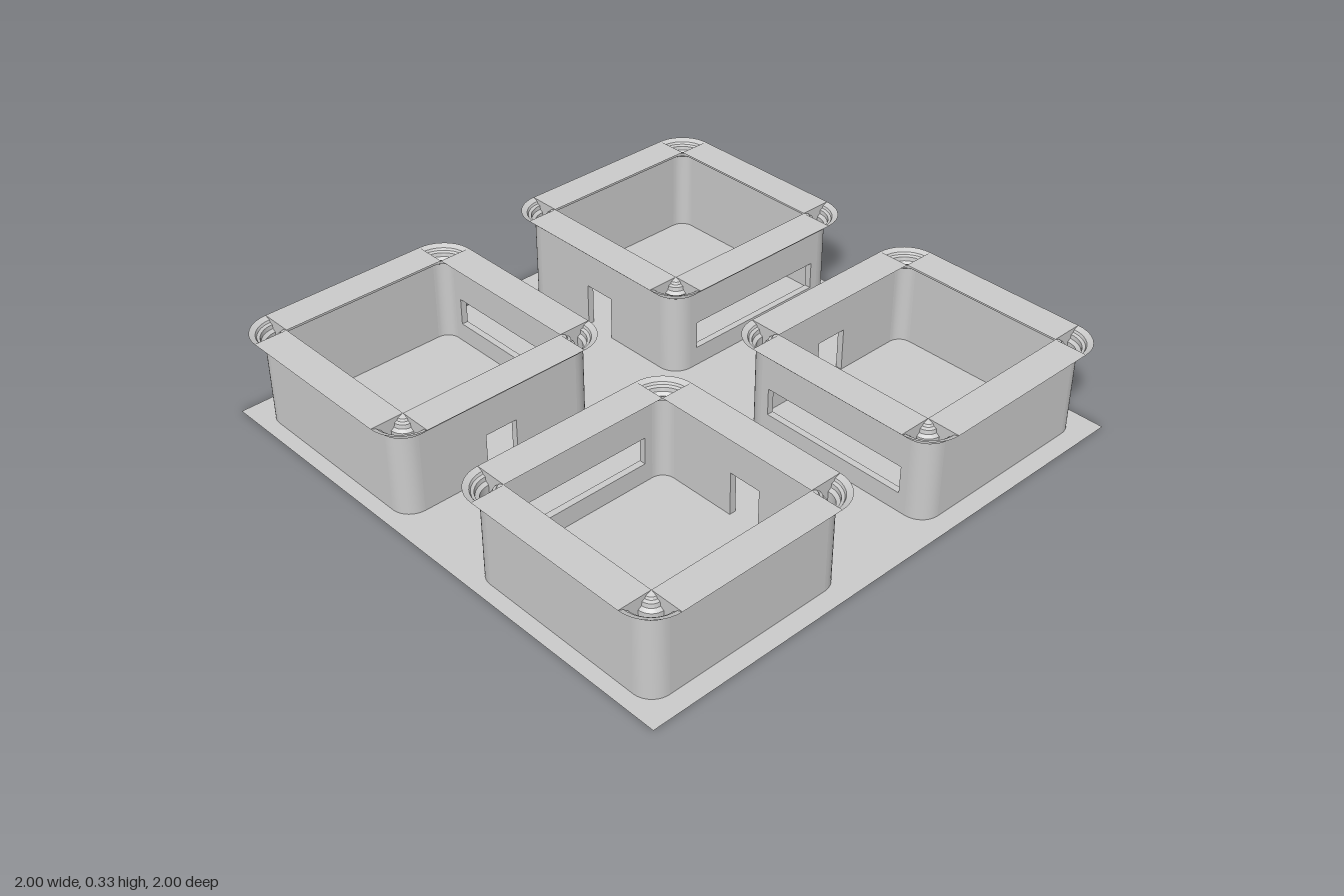
import * as THREE from 'three';
import { toCreasedNormals } from 'three/addons/utils/BufferGeometryUtils.js';

const material = new THREE.MeshStandardMaterial({ color: 0xcccccc, side: THREE.DoubleSide });
const C = 0.31;        // distance from block centre to each corner's centre
const MID = 0.06;      // middle of the wall, measured out from the corner centre
const HALF_WALL = 0.012;
const WALL_TOP = 0.29;
// Cornice steps: distance from the wall's middle, height
const STEPS = [[HALF_WALL, WALL_TOP], [0.024, 0.298], [0.026, 0.312], [0.036, 0.316], [0.04, 0.324], [0.06, 0.332]];

function part(name, geometry, parent) {
  const mesh = new THREE.Mesh(geometry, material);
  mesh.name = name;
  parent.add(mesh);
  return mesh;
}

// Straight wall panel with an optional doorway or wide window
function wallGeometry(opening) {
  const shape = new THREE.Shape();
  shape.moveTo(-C, 0);
  if (opening === 'door') {
    shape.lineTo(-0.06, 0);
    shape.lineTo(-0.06, 0.16);
    shape.lineTo(0.06, 0.16);
    shape.lineTo(0.06, 0);
  }
  shape.lineTo(C, 0);
  shape.lineTo(C, WALL_TOP);
  shape.lineTo(-C, WALL_TOP);
  shape.closePath();
  if (opening === 'window') {
    const hole = new THREE.Path();
    hole.moveTo(-0.28, 0.07);
    hole.lineTo(-0.28, 0.17);
    hole.lineTo(0.28, 0.17);
    hole.lineTo(0.28, 0.07);
    hole.closePath();
    shape.holes.push(hole);
  }
  const geometry = new THREE.ExtrudeGeometry(shape, { depth: 2 * HALF_WALL, bevelEnabled: false });
  return geometry.translate(0, 0, C + MID - HALF_WALL);
}

// Straight cornice with a flat top, flared to both sides of the wall
function corniceGeometry() {
  const right = STEPS.map(([d, y]) => new THREE.Vector2(d, y));
  const left = STEPS.map(([d, y]) => new THREE.Vector2(-d, y)).reverse();
  const shape = new THREE.Shape([...right, ...left]);
  const geometry = new THREE.ExtrudeGeometry(shape, { depth: 2 * C, bevelEnabled: false });
  return geometry.translate(0, 0, -C).rotateY(-Math.PI / 2).translate(0, 0, C + MID);
}

// Quarter-round corner skin: wall and cornice; side is 1 outside, -1 inside
function cornerGeometry(side) {
  const points = [[HALF_WALL, 0], ...STEPS].map(([d, y]) => new THREE.Vector2(MID + side * d, y));
  const geometry = new THREE.LatheGeometry(points, 10, 0, Math.PI / 2);
  return toCreasedNormals(geometry, 0.4).translate(C, 0, C);
}

function createBlock() {
  const block = new THREE.Group();
  const openings = ['none', 'none', 'door', 'window'];
  openings.forEach((opening, k) => {
    const side = new THREE.Group();
    side.name = 'blockSide';
    part(opening === 'none' ? 'wall' : opening + 'Wall', wallGeometry(opening), side);
    part('cornice', corniceGeometry(), side);
    part('outerCorner', cornerGeometry(1), side);
    part('innerCorner', cornerGeometry(-1), side);
    side.rotation.y = k * Math.PI / 2;
    block.add(side);
  });
  return block;
}

export function createModel() {
  const model = new THREE.Group();
  model.name = 'courtyardBlocks';

  // Ground sheet
  part('basePlate', new THREE.PlaneGeometry(2, 2).rotateX(-Math.PI / 2), model);

  // Four blocks, turned so their openings face the central crossing
  [[1, 1], [1, -1], [-1, -1], [-1, 1]].forEach(([sx, sz], j) => {
    const block = createBlock();
    block.name = 'block' + (j + 1);
    block.position.set(sx * 0.549, 0, sz * 0.564);
    block.rotation.y = j * Math.PI / 2;
    model.add(block);
  });
  return model;
}
